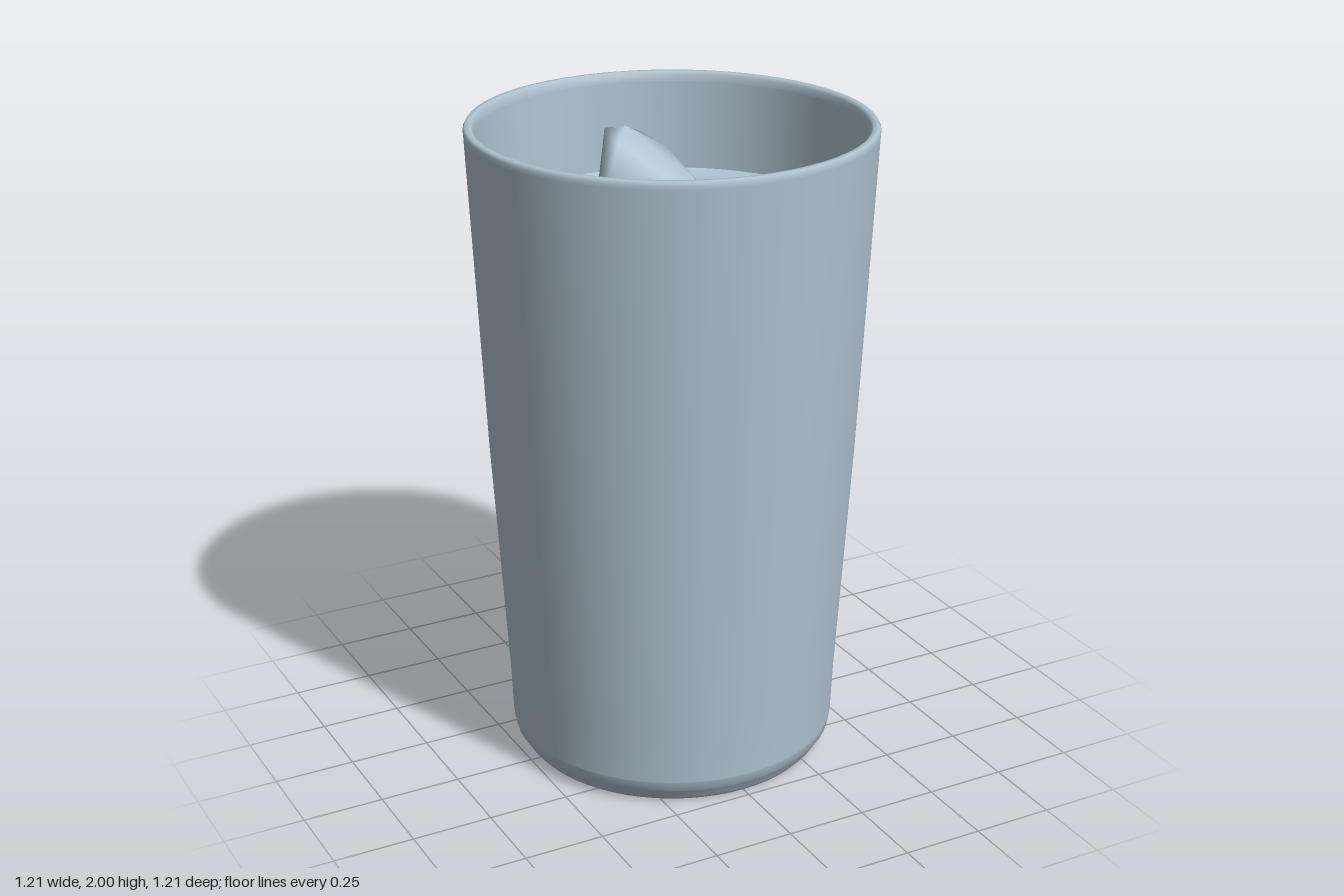
import * as THREE from 'three';
import { mergeVertices } from 'three/addons/utils/BufferGeometryUtils.js';
import { ConvexGeometry } from 'three/addons/geometries/ConvexGeometry.js';

const LEVEL = 1.68;

export function createModel() {
  const group = new THREE.Group();
  const paleBlue = new THREE.MeshStandardMaterial({ color: 0xafc2cf });
  paleBlue.name = 'paleBlueGlass';

  const add = (name, geometry) => {
    const mesh = new THREE.Mesh(geometry, paleBlue);
    mesh.name = name;
    group.add(mesh);
    return mesh;
  };
  const lathe = (points) =>
    new THREE.LatheGeometry(points.map(([r, y]) => new THREE.Vector2(r, y)), 64);

  // Base: flat underside and small rounded foot step
  add('underside', lathe([[0, 0.005], [0.45, 0.005]]));
  add('foot', lathe([[0.45, 0.005], [0.465, 0.005], [0.478, 0.02], [0.485, 0.04], [0.5, 0.055], [0.506, 0.085]]));

  // Tapered outer wall, rounded lip and inner wall down to the drink
  add('outerWall', lathe([[0.506, 0.085], [0.513, 0.25], [0.558, 1], [0.605, 1.975]]));
  add('rim', lathe([[0.605, 1.975], [0.606, 1.99], [0.6, 2], [0.585, 2], [0.577, 1.99], [0.575, 1.97]]));
  add('innerWall', lathe([[0.575, 1.97], [0.562, LEVEL - 0.02]]));

  // Drink surface, creeping up slightly at the wall
  add('drink', lathe([[0.566, LEVEL + 0.015], [0.545, LEVEL + 0.002], [0.5, LEVEL], [0, LEVEL]]));

  // Ice: soft-shaded convex lumps, [x, z, y] corners; footprint corners sit under the drink
  const ice = (name, footprint, tops) => {
    const corners = [
      ...footprint.map(([x, z]) => new THREE.Vector3(x, LEVEL - 0.02, z)),
      ...tops.map(([x, z, y]) => new THREE.Vector3(x, y, z)),
    ];
    const hull = new ConvexGeometry(corners);
    hull.deleteAttribute('normal');
    const geometry = mergeVertices(hull, 1e-4);
    geometry.computeVertexNormals();
    add(name, geometry);
  };

  ice('backIce',
    [[-0.22, -0.07], [0.2, -0.08], [0.25, -0.14], [0.25, -0.26], [0.2, -0.41], [0.08, -0.45], [-0.03, -0.44]],
    [[-0.03, -0.38, 1.89], [0.02, -0.34, 1.9], [0.08, -0.37, 1.87], [0.17, -0.36, 1.81], [0.2, -0.2, 1.73], [-0.04, -0.27, 1.87]]);

  ice('frontIce',
    [[-0.44, 0.09], [-0.43, 0.18], [-0.1, 0.41], [0.02, 0.45], [0.13, 0.43], [0.3, 0.1], [0.22, -0.05], [-0.2, -0.08], [-0.29, -0.08]],
    [[-0.42, 0.11, 1.75], [-0.36, 0.16, 1.77], [-0.03, 0.32, 1.89], [0.04, 0.32, 1.9], [0.1, 0.28, 1.88],
      [0.26, 0.1, 1.75], [-0.24, -0.05, 1.72]]);

  return group;
}
